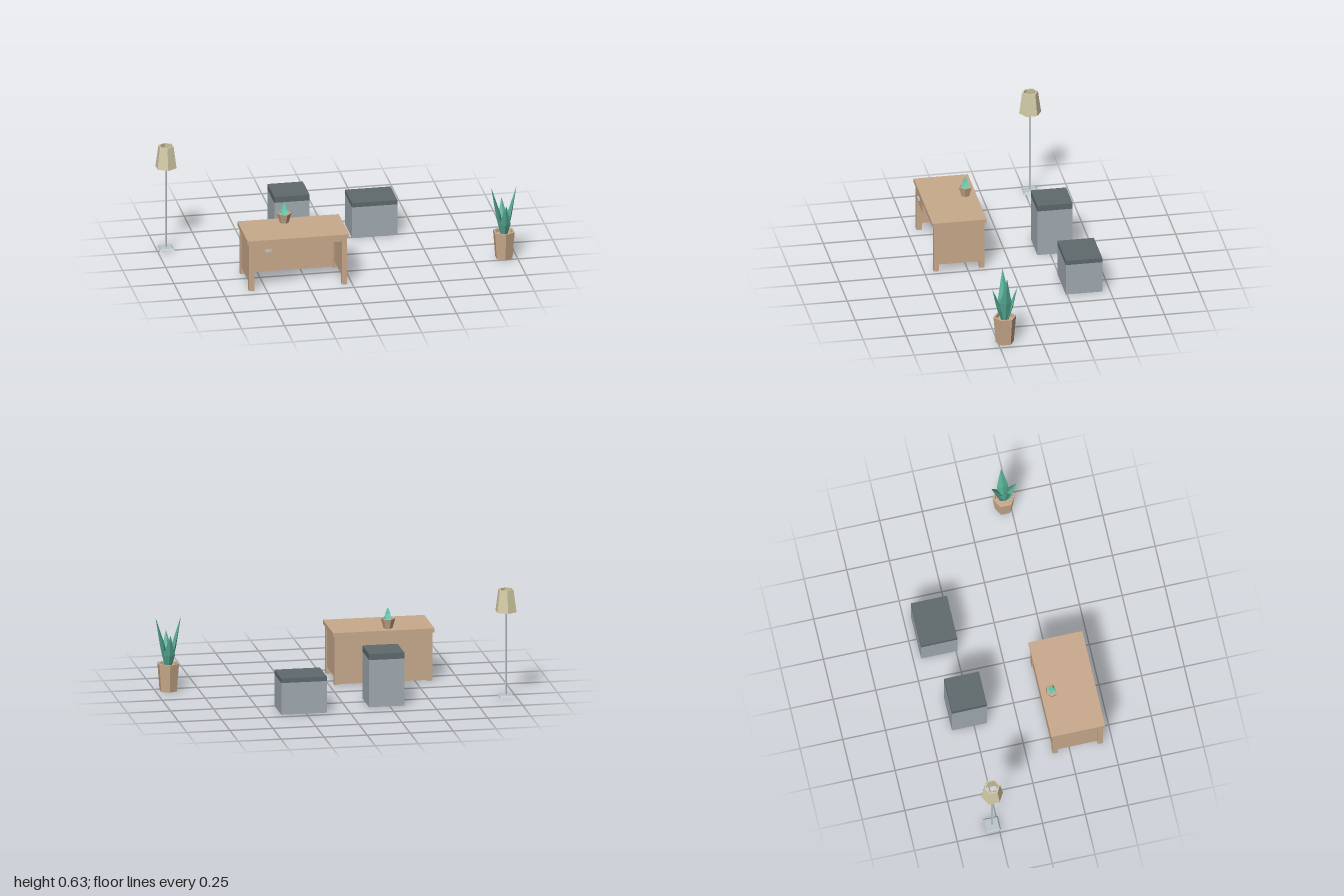
import * as THREE from 'three';

const mat = (name, color) => {
  const m = new THREE.MeshStandardMaterial({ color });
  m.name = name;
  m.flatShading = true;
  return m;
};

export function createModel() {
  const root = new THREE.Group();
  root.name = 'officeSet';
  const wood = mat('wood', 0xc9aa8c);
  const steel = mat('pale grey', 0xa2abb3);
  const lid = mat('dark slate', 0x5f6a6c);
  const metal = mat('light metal', 0xbcc6ca);
  const cream = mat('cream shade', 0xd4cba8);
  const leafMat = mat('leaf green', 0x57ad95);
  const mint = mat('mint', 0x66cdb0);

  const group = (name, x = 0, y = 0, z = 0) => {
    const g = new THREE.Group();
    g.name = name;
    g.position.set(x, y, z);
    root.add(g);
    return g;
  };
  const add = (parent, name, geo, material) => {
    const m = new THREE.Mesh(geo, material);
    m.name = name;
    parent.add(m);
    return m;
  };
  // Box given by its limits on each axis
  const box = (parent, name, material, x0, x1, y0, y1, z0, z1) => {
    const m = add(parent, name, new THREE.BoxGeometry(x1 - x0, y1 - y0, z1 - z0), material);
    m.position.set((x0 + x1) / 2, (y0 + y1) / 2, (z0 + z1) / 2);
    return m;
  };
  const lathe = (parent, name, pts, sides, material) =>
    add(parent, name, new THREE.LatheGeometry(pts.map(p => new THREE.Vector2(...p)), sides), material);

  // Desk
  const desk = group('desk');
  box(desk, 'deskTop', wood, -0.61, -0.02, 0.287, 0.31, 0.14, 0.455);
  for (const x of [-0.6, -0.06]) {
    box(desk, 'frontLeg', wood, x, x + 0.03, 0, 0.287, 0.415, 0.445);
    box(desk, 'backLeg', wood, x, x + 0.03, 0, 0.287, 0.15, 0.18);
    box(desk, 'sideRail', wood, x, x + 0.03, 0.265, 0.287, 0.18, 0.415);
    box(desk, 'sidePanel', wood, x + 0.006, x + 0.024, 0.04, 0.265, 0.18, 0.415);
  }
  box(desk, 'frontRail', wood, -0.57, -0.06, 0.265, 0.287, 0.415, 0.445);
  box(desk, 'drawer', wood, -0.57, -0.385, 0.2, 0.265, 0.415, 0.445);
  box(desk, 'drawerHandle', metal, -0.508, -0.472, 0.235, 0.248, 0.445, 0.455);
  box(desk, 'backRail', wood, -0.57, -0.06, 0.265, 0.287, 0.15, 0.18);
  box(desk, 'backPanel', wood, -0.57, -0.06, 0.004, 0.265, 0.156, 0.174);

  // Two cabinets with dark tops
  const cabinet = (name, x0, x1, h, split, z0, z1) => {
    const g = group(name);
    box(g, 'cabinetBody', steel, x0, x1, 0, split, z0, z1);
    box(g, 'cabinetTop', lid, x0, x1, split, h, z0, z1);
  };
  cabinet('tallCabinet', -0.335, -0.13, 0.313, 0.278, -0.38, -0.175);
  cabinet('lowCabinet', 0.13, 0.395, 0.213, 0.187, -0.455, -0.243);

  // Floor lamp: square foot, thin pole, open six-sided shade
  const lamp = group('floorLamp', -0.944, 0, -0.283);
  const foot = add(lamp, 'lampFoot', new THREE.CylinderGeometry(0.05, 0.062, 0.012, 4), metal);
  foot.rotation.y = Math.PI / 4;
  foot.position.y = 0.006;
  const pole = add(lamp, 'lampPole', new THREE.CylinderGeometry(0.006, 0.006, 0.54, 6), metal);
  pole.position.y = 0.282;
  lathe(lamp, 'lampShade',
    [[0.055, 0.502], [0.064, 0.502], [0.046, 0.633], [0.037, 0.633], [0.055, 0.502]], 6, cream);

  // Six-sided pot with a rim and sunken filling
  const pot = (parent, rBottom, rTop, h) => lathe(parent, 'pot',
    [[0, 0], [rBottom, 0], [rTop, h], [rTop * 0.82, h], [rTop * 0.78, h * 0.88], [0, h * 0.88]], 6, wood);

  // Pointed leaf leaning along +z, lofted through four-cornered sections
  const leafGeometry = tip => {
    // section: centre y, centre z, half width, half thickness
    const sections = [[0.135, 0.01, 0.015, 0.008], [tip * 0.5 + 0.045, 0.032, 0.034, 0.014], [tip, 0.074, 0, 0]];
    const pos = [], idx = [];
    for (const [y, z, w, t] of sections)
      pos.push(w, y, z, 0, y - t * 0.3, z + t, -w, y, z, 0, y + t * 0.3, z - t);
    for (let s = 0; s < 2; s++)
      for (let i = 0; i < 4; i++) {
        const a = s * 4 + i, b = s * 4 + (i + 1) % 4;
        idx.push(a, a + 4, b);
        if (s === 0) idx.push(b, a + 4, b + 4);
      }
    const g = new THREE.BufferGeometry();
    g.setAttribute('position', new THREE.Float32BufferAttribute(pos, 3));
    g.setIndex(idx);
    g.computeVertexNormals();
    return g;
  };
  leafMat.side = THREE.DoubleSide;

  // Large floor plant
  const plant = group('floorPlant', 0.926, 0, 0.21);
  pot(plant, 0.052, 0.066, 0.163);
  for (let i = 0; i < 4; i++) {
    const leaf = add(plant, 'leaf', leafGeometry(i % 2 ? 0.435 : 0.343), leafMat);
    leaf.rotation.y = i * Math.PI / 2;
  }

  // Small tiered plant on the desk
  const small = group('deskPlant', -0.35, 0.31, 0.202);
  pot(small, 0.026, 0.042, 0.057).rotation.y = 0.26;
  [[0.028, 0.046, 0.034], [0.024, 0.066, 0.032], [0.018, 0.084, 0.038]].forEach(([r, y, h]) => {
    const tier = add(small, 'plantTier', new THREE.ConeGeometry(r, h, 4), mint);
    tier.position.y = y + h / 2;
    tier.rotation.y = Math.PI / 4 + 0.2;
  });

  return root;
}
